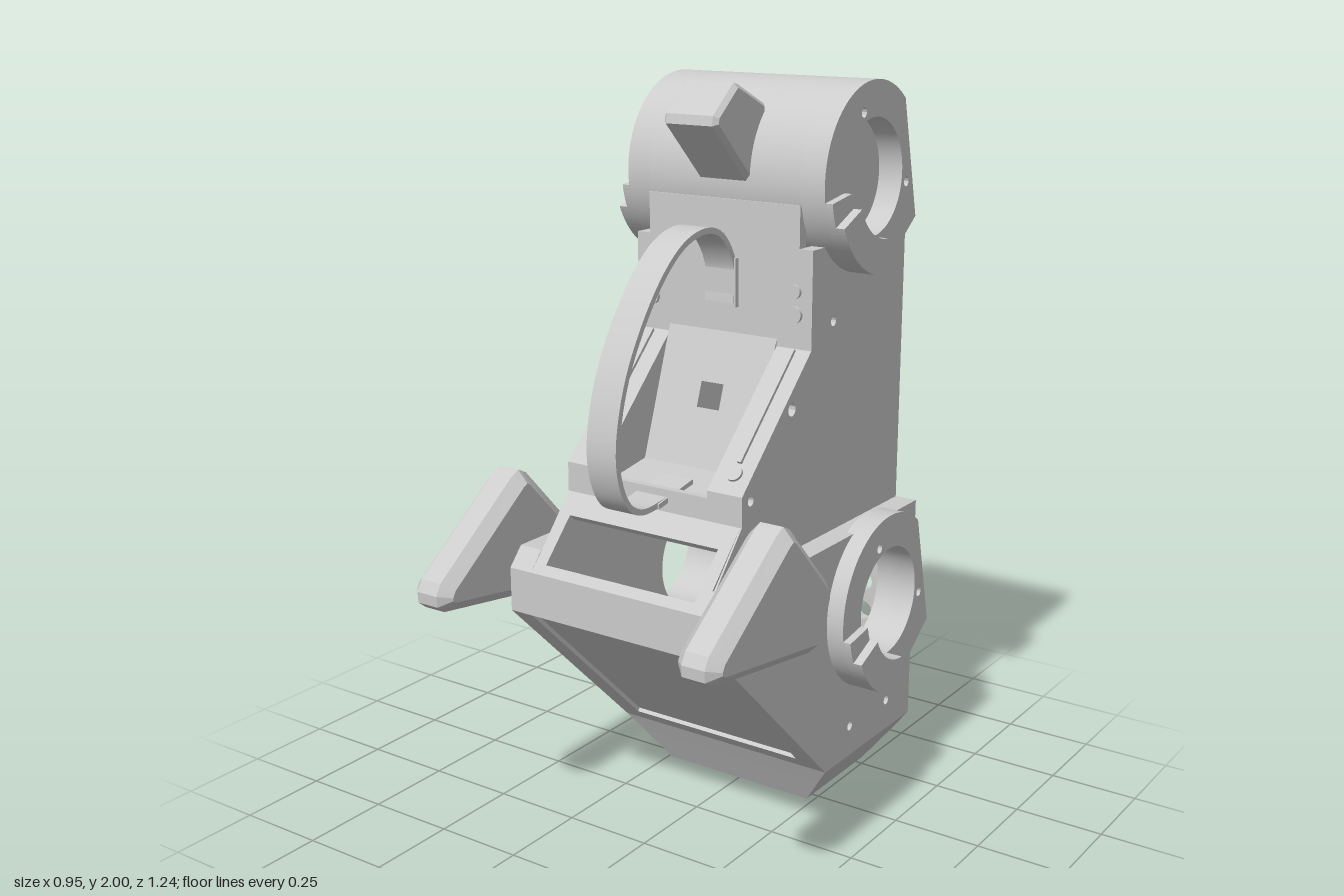
import * as THREE from 'three';
import { toCreasedNormals } from 'three/addons/utils/BufferGeometryUtils.js';

const mat = new THREE.MeshStandardMaterial({ color: 0xcccccc, side: THREE.DoubleSide });
const V = (z, y) => new THREE.Vector2(z, y);
const circle = (a, b, r) => new THREE.Path().absarc(a, b, r, 0, Math.PI * 2);
const rad = THREE.MathUtils.degToRad;

export function createModel() {
  const model = new THREE.Group();

  function add(name, geo) {
    const mesh = new THREE.Mesh(geo, mat);
    mesh.name = name;
    model.add(mesh);
    return mesh;
  }

  // Extrude a (z, y) profile across x from x0 to x1
  function slab(name, shape, x0, x1, bevel = 0) {
    const geo = new THREE.ExtrudeGeometry(shape, {
      depth: x1 - x0 - 2 * bevel, curveSegments: 40, steps: 1,
      bevelEnabled: bevel > 0, bevelSize: bevel, bevelThickness: bevel,
      bevelOffset: -bevel, bevelSegments: 1,
    });
    geo.rotateY(-Math.PI / 2).translate(x1 - bevel, 0, 0);
    return add(name, toCreasedNormals(geo, 0.4));
  }

  // The same slab on the left and right
  function pair(name, shape, x0, x1, bevel = 0) {
    slab(name + 'Left', shape, x0, x1, bevel);
    slab(name + 'Right', shape, -x1, -x0, bevel);
  }

  // Flat panel rising from (z, y) point a to b, outer face on that line
  function panel(name, a, b, halfWidth, thick, holes = []) {
    const length = a.distanceTo(b), d = b.clone().sub(a).divideScalar(length);
    const shape = new THREE.Shape([V(-halfWidth, 0), V(halfWidth, 0), V(halfWidth, length), V(-halfWidth, length)]);
    shape.holes.push(...holes);
    const geo = new THREE.ExtrudeGeometry(shape, { depth: thick, bevelEnabled: false, curveSegments: 8 });
    geo.translate(0, 0, -thick);
    geo.applyMatrix4(new THREE.Matrix4().makeBasis(
      new THREE.Vector3(1, 0, 0), new THREE.Vector3(0, d.y, d.x), new THREE.Vector3(0, -d.x, d.y)
    ).setPosition(0, a.y, a.x));
    return add(name, geo);
  }
  const rect = (w, t0, t1) => new THREE.Path([V(-w, t0), V(w, t0), V(w, t1), V(-w, t1)]);

  // Side walls
  const CZ = -0.37, LOW = 0.59, HIGH = 1.75;
  const lower = new THREE.Shape([
    V(-0.61, 0.15), V(-0.13, 0.15), V(0.37, 0.64), V(0.37, 0.76), V(0.325, 0.81), V(-0.61, 0.81)]);
  lower.holes.push(circle(CZ, LOW, 0.155), circle(0.09, 0.595, 0.013),
    circle(-0.26, 0.24, 0.013), circle(-0.47, 0.24, 0.013));
  pair('lowerWall', lower, 0.27, 0.34);

  const upper = new THREE.Shape([
    V(-0.61, 0.78), V(0.34, 0.78), V(0.2, 0.94), V(0.2, 1.02), V(-0.12, 1.33), V(-0.12, 1.59), V(-0.61, 1.59)]);
  upper.holes.push(circle(-0.23, 1.39, 0.013), circle(-0.03, 1.195, 0.018), circle(0.16, 1.0, 0.013));
  pair('upperWall', upper, 0.235, 0.275);

  // Round hubs with a tail reaching the flat back
  function hub(cy, hole, pins) {
    const s = new THREE.Shape();
    s.moveTo(-0.61, cy + 0.11);
    s.absarc(CZ, cy, 0.25, rad(130), rad(-120), true);
    s.lineTo(-0.61, cy - 0.13);
    s.closePath();
    s.holes.push(circle(CZ, cy, hole));
    if (pins) [[0.06, 0.17], [-0.18, -0.03], [0.12, -0.14]].forEach(
      ([z, y]) => s.holes.push(circle(CZ + z, cy + y, 0.013)));
    return s;
  }
  function sector(cy, from, to) {
    const s = new THREE.Shape();
    s.absarc(CZ, cy, 0.25, rad(from), rad(to), true);
    s.absarc(CZ, cy, 0.155, rad(to), rad(from), false);
    s.closePath();
    return s;
  }
  slab('topBarrel', hub(HIGH, 0.22, false), -0.235, 0.235);
  [['top', HIGH, 0.235, 0.305], ['bottom', LOW, 0.32, 0.39]].forEach(([n, cy, x0, x1]) => {
    pair(n + 'Hub', hub(cy, 0.155, true), x0, x1);
    pair(n + 'Clip', sector(cy, -24, -90), x1, x1 + 0.047);
    pair(n + 'ClipStep', sector(cy, -9, -24), x1, x1 + 0.022);
  });

  // Tapered tub under the body, from stacked rectangles: y, half width, back z, front z
  const rings = [[0.15, 0.34, -0.61, -0.13], [0.1, 0.303, -0.61, -0.158], [0.005, 0.235, -0.53, -0.21]];
  const pos = [], index = [];
  rings.forEach(([y, w, b, f]) => pos.push(-w, y, f, w, y, f, w, y, b, -w, y, b));
  for (let r = 0; r < 2; r++) for (let i = 0; i < 4; i++) {
    const a = r * 4 + i, b = r * 4 + (i + 1) % 4;
    index.push(a, a + 4, b, b, a + 4, b + 4);
  }
  index.push(8, 11, 10, 8, 10, 9);
  let tub = new THREE.BufferGeometry();
  tub.setAttribute('position', new THREE.Float32BufferAttribute(pos, 3));
  tub.setIndex(index);
  tub = tub.toNonIndexed();
  tub.computeVertexNormals();
  add('bottomTub', tub);
  const plug = new THREE.CylinderGeometry(0.1, 0.1, 0.006, 40);
  plug.scale(1.4, 1, 0.85).translate(0, 0.003, -0.37);
  add('bottomPlug', plug);

  // Perforated back panel and the slope above it
  const vents = [];
  for (let r = 0; r < 8; r++) for (let c = -2; c <= 2; c++) vents.push(circle(c * 0.097, 0.08 + r * 0.0907, 0.029));
  panel('backGrille', V(-0.58, 0.1), V(-0.58, 0.9), 0.27, 0.03, vents);
  panel('backSlope', V(-0.61, 0.9), V(-0.53, 1.0), 0.235, 0.02);

  // Lower front: recessed sloping panel, nose band and window
  panel('frontSlope', V(-0.138, 0.158), V(0.362, 0.648), 0.27, 0.03);
  panel('frontSlopeSill', V(-0.13, 0.15), V(-0.09, 0.189), 0.27, 0.03);
  panel('noseBand', V(0.37, 0.64), V(0.37, 0.76), 0.27, 0.03);
  panel('windowFrame', V(0.37, 0.76), V(0.2, 0.94), 0.27, 0.025, [rect(0.235, 0.03, 0.18)]);
  panel('windowLip', V(0.2, 0.94), V(0.2, 1.0), 0.235, 0.02);

  // Upper front: chest plate, shoulders and sunken seat
  panel('chestPlate', V(-0.12, 1.33), V(-0.12, 1.7), 0.235, 0.03);
  panel('seatBack', V(0.0, 1.0), V(-0.12, 1.35), 0.17, 0.02, [rect(0.035, 0.16, 0.23)]);
  panel('seatFloor', V(0.2, 0.97), V(0.0, 1.0), 0.17, 0.02);
  pair('shoulder', new THREE.Shape([
    V(-0.14, 1.36), V(-0.12, 1.36), V(-0.12, 1.33), V(0.2, 1.02), V(0.2, 0.95), V(0, 0.98)]), 0.17, 0.235);

  // Fasteners and thin rails along the shoulders
  for (const side of [-1, 1]) {
    [[1.42, 0.022, -0.12], [1.48, 0.018, -0.12], [1.06, 0.022, 0.155]].forEach(([y, r, z]) => {
      const knob = new THREE.CylinderGeometry(r, r, 0.02, 16);
      knob.rotateX(y < 1.3 ? Math.PI / 4 : Math.PI / 2).translate(side * 0.225, y, z);
      add('fastener', knob);
    });
    panel('rail', V(0.14, 1.09), V(-0.11, 1.332), 0.006, 0.02).position.x = side * 0.225;
  }

  // Looped strap handle
  const outer = new THREE.SplineCurve([
    V(-0.12, 1.43), V(-0.12, 1.53), V(-0.06, 1.62), V(0.03, 1.645), V(0.14, 1.61), V(0.25, 1.51),
    V(0.35, 1.36), V(0.4, 1.22), V(0.408, 1.1), V(0.37, 1.0), V(0.3, 0.958), V(0.19, 0.965)]);
  const edge = [], inner = [];
  for (let i = 0; i <= 60; i++) {
    const p = outer.getPoint(i / 60), t = outer.getTangent(i / 60);
    edge.push(p);
    inner.unshift(V(p.x + t.y * 0.016, p.y - t.x * 0.016));
  }
  slab('strap', new THREE.Shape([...edge, ...inner]), -0.045, 0.045);
  panel('strapTopTab', V(-0.106, 1.42), V(-0.106, 1.55), 0.05, 0.014);
  panel('strapBottomTab', V(0.24, 0.972), V(0.09, 1.0), 0.05, 0.014);

  // Spout on the top barrel
  slab('spout', new THREE.Shape([
    V(-0.06, 2.0), V(0.03, 1.925), V(0.035, 1.9), V(-0.12, 1.75), V(-0.2, 1.8), V(-0.2, 1.94), V(-0.08, 1.995)]),
  -0.082, 0.082, 0.012);

  // Side pods and their brackets
  pair('pod', new THREE.Shape([
    V(0.25, 0.985), V(0.28, 1.0), V(0.31, 0.985), V(0.595, 0.775), V(0.612, 0.745), V(0.61, 0.715), V(0.585, 0.695),
    V(0.15, 0.63), V(0.115, 0.645), V(0.07, 0.765), V(0.075, 0.8)]), 0.35, 0.475, 0.03);
  pair('podArm', new THREE.Shape([V(0.0, 0.68), V(0.25, 0.68), V(0.25, 0.76), V(0.0, 0.76)]), 0.33, 0.365);
  pair('podBracket', new THREE.Shape([V(0.0, 0.67), V(0.035, 0.67), V(0.035, 0.77), V(0.0, 0.77)]), 0.34, 0.395);
  pair('podHinge', new THREE.Shape([V(0.03, 0.7), V(0.12, 0.7), V(0.12, 0.75), V(0.03, 0.75)]), 0.34, 0.39);

  return model;
}
